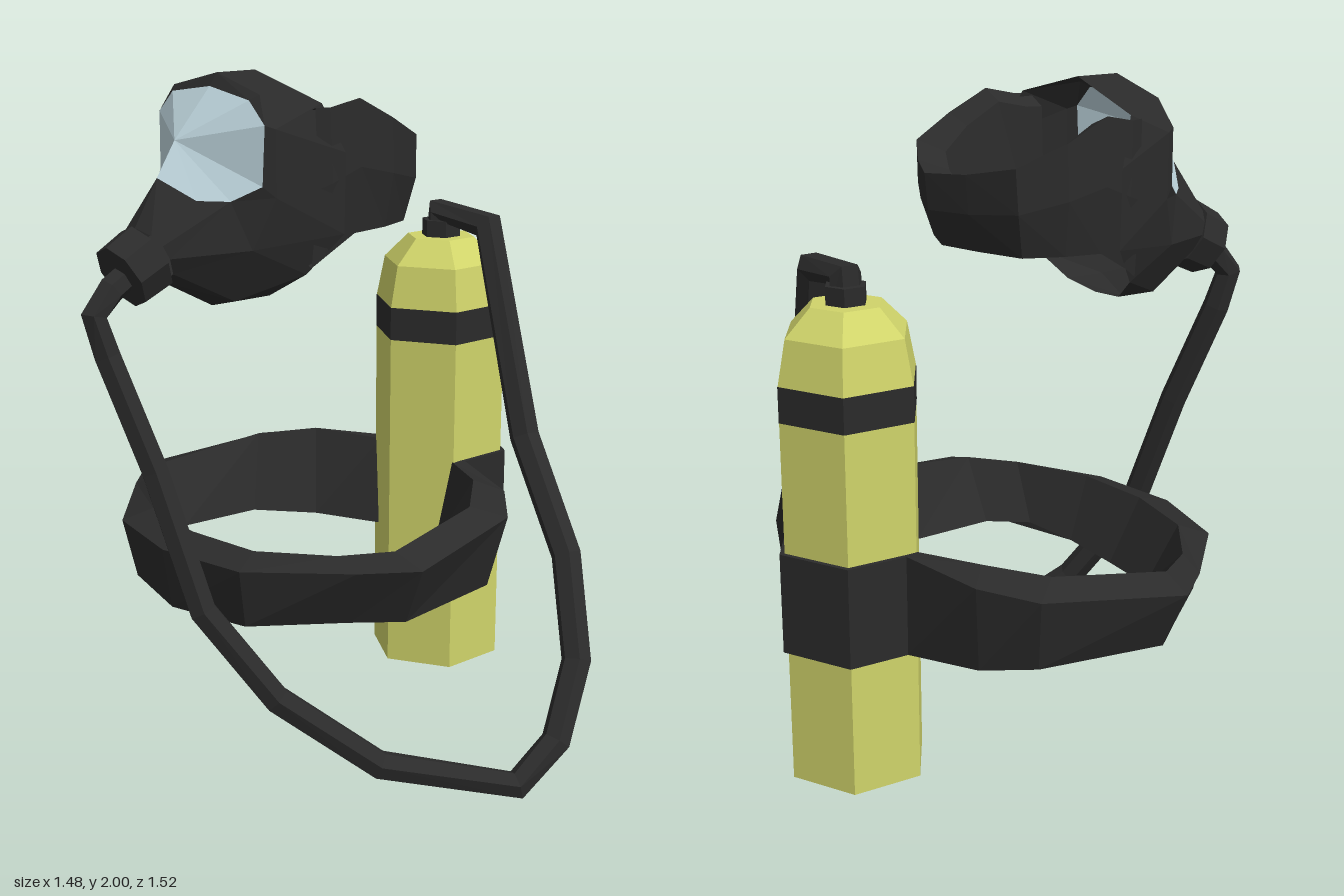
import * as THREE from 'three';

const CX = -0.1; // centre line of mask, belt and tank

function mat(name, color, side = THREE.FrontSide) {
  const m = new THREE.MeshStandardMaterial({ color, side, flatShading: true });
  m.name = name;
  return m;
}

// Skin a grid of [x, y, z] points; rows and columns may each wrap round.
function skin(rows, wrapRows = false, wrapCols = false) {
  const pos = [];
  const nr = rows.length, nc = rows[0].length;
  for (let i = 0; i < (wrapRows ? nr : nr - 1); i++) {
    for (let j = 0; j < (wrapCols ? nc : nc - 1); j++) {
      const a = rows[i][j], b = rows[(i + 1) % nr][j];
      const c = rows[(i + 1) % nr][(j + 1) % nc], d = rows[i][(j + 1) % nc];
      pos.push(...a, ...b, ...c, ...a, ...c, ...d);
    }
  }
  const g = new THREE.BufferGeometry();
  g.setAttribute('position', new THREE.Float32BufferAttribute(pos, 3));
  g.computeVertexNormals();
  return g;
}

const flip = (p) => [-p[0], p[1], p[2]];

// Six-sided tube whose rings sit exactly on the given points
function hoseGeometry(pts, r0, r1) {
  const P = pts.map((p) => new THREE.Vector3(...p));
  let u = new THREE.Vector3(0, 0, 1);
  const rows = P.map((p, i) => {
    const t = new THREE.Vector3();
    if (i > 0) t.add(p.clone().sub(P[i - 1]).normalize());
    if (i < P.length - 1) t.add(P[i + 1].clone().sub(p).normalize());
    t.normalize();
    u = u.clone().addScaledVector(t, -u.dot(t)).normalize();
    const v = t.clone().cross(u);
    const r = r0 + (r1 - r0) * (i / (P.length - 1));
    return Array.from({ length: 6 }, (_, k) => {
      const a = (k / 6) * Math.PI * 2;
      return p.clone().addScaledVector(u, r * Math.cos(a)).addScaledVector(v, r * Math.sin(a)).toArray();
    });
  });
  return skin(rows, false, true);
}

export function createModel() {
  const black = mat('black rubber', 0x2b2b2b, THREE.DoubleSide);
  const yellow = mat('yellow tank paint', 0xd0d46a);
  const glass = mat('pale blue glass', 0xbfd6de, THREE.DoubleSide);

  const model = new THREE.Group();
  model.name = 'breathingSet';
  const group = (name) => {
    const g = new THREE.Group();
    g.name = name;
    g.position.x = CX;
    model.add(g);
    return g;
  };
  const add = (parent, name, geo, material) => {
    const m = new THREE.Mesh(geo, material);
    m.name = name;
    parent.add(m);
    return m;
  };

  // Tank: hexagonal sections stacked upward, with a dark base
  const tank = group('tank');
  const section = (name, y0, y1, r0, r1, material) => {
    add(tank, name, new THREE.CylinderGeometry(r1, r0, y1 - y0, 6), material)
      .position.set(0, (y0 + y1) / 2, -0.54);
  };
  section('tankBody', 0.11, 1.16, 0.205, 0.205, [yellow, yellow, black]);
  section('tankStripe', 1.16, 1.26, 0.206, 0.206, black);
  section('tankShoulder', 1.26, 1.385, 0.205, 0.18, yellow);
  section('tankTop', 1.385, 1.46, 0.18, 0.105, yellow);
  section('valve', 1.46, 1.51, 0.06, 0.06, black);

  // Belt: [outer x, outer z, inner x, inner z, top y, bottom y, slant], front to back
  const beltHalf = [
    [0, 0.53, 0, 0.32, 0.69, 0.51, 0.03],
    [0.28, 0.475, 0.2, 0.31, 0.69, 0.515, 0.04],
    [0.52, 0.26, 0.36, 0.26, 0.7, 0.53, 0.07],
    [0.64, 0.13, 0.43, 0.14, 0.71, 0.535, 0.07],
    [0.56, -0.28, 0.41, -0.12, 0.75, 0.535, 0.05],
    [0.43, -0.4, 0.29, -0.28, 0.77, 0.52, 0.03],
    [0.19, -0.475, 0.13, -0.41, 0.79, 0.5, 0],
    [0.19, -0.65, 0.13, -0.61, 0.79, 0.5, 0],
    [0, -0.76, 0, -0.7, 0.79, 0.5, 0],
  ].map(([x, z, ix, iz, top, bot, s]) => {
    const k = 1 - s / 0.55;
    const rise = s > 0 ? 0.03 : 0;
    return [
      [x, top, z],
      [(x + ix) / 2, top + rise, (z + iz) / 2],
      [ix, bot + 0.02, iz],
      [x * k, bot, z * k],
    ];
  });
  const beltRows = [...beltHalf, ...beltHalf.slice(1, -1).reverse().map((r) => r.map(flip))];
  add(group('belt'), 'waistBelt', skin(beltRows, true, true), black);

  const mask = group('mask');

  // Head strap: [x, z, top y, bottom y], from the side of the mask to the back
  const strapHalf = [
    [0.285, 0.2, 1.92, 1.49],
    [0.3, 0.16, 1.92, 1.52],
    [0.315, 0.07, 1.94, 1.575],
    [0.315, -0.05, 1.88, 1.58],
    [0.27, -0.18, 1.82, 1.58],
    [0.13, -0.25, 1.79, 1.58],
    [0, -0.3, 1.78, 1.58],
  ].map(([x, z, top, bot]) => {
    const mid = (top + bot) / 2, back = z < 0 ? 1 - 0.05 / 0.3 : 1;
    return [
      [x * 0.98, top, z],
      [x, mid, z * 0.97],
      [x * 0.92, bot, z * back],
      [x * 0.68, bot + 0.03, z < 0 ? z * 0.58 : z],
      [x * 0.75, top - 0.03, z < 0 ? z * 0.68 : z],
    ];
  });
  const strapRows = [...strapHalf, ...strapHalf.slice(0, -1).reverse().map((r) => r.map(flip))];
  add(mask, 'headStrap', skin(strapRows, false, true), black);

  // Shared mask corners
  const sideBack = [0.24, 1.47, 0.2], cheek = [0.21, 1.55, 0.36];
  const jaw = [0.13, 1.4, 0.36], chin = [0, 1.365, 0.34];
  const paneEdge = [
    [0, 1.965, 0.335], [0.17, 1.94, 0.335], [0.235, 1.88, 0.335], [0.23, 1.72, 0.34],
    [0.17, 1.68, 0.4], [0.1, 1.68, 0.46], [0, 1.735, 0.515],
  ];

  // Mask shell patches for one side, then mirrored
  const patches = {
    maskFrame: [
      [[0, 2, 0.18], [0.27, 1.93, 0.17], [0.31, 1.8, 0.12], [0.305, 1.58, 0.12], sideBack],
      [[0, 2, 0.31], [0.19, 1.955, 0.315], [0.25, 1.87, 0.31], [0.25, 1.69, 0.31], cheek],
      paneEdge.slice(0, 5),
    ],
    maskChin: [
      [sideBack, [0.13, 1.4, 0.24], [0, 1.385, 0.25]],
      [cheek, jaw, chin],
    ],
    maskSnout: [
      [paneEdge[6], paneEdge[5], paneEdge[4], cheek, jaw, chin],
      [[0, 1.61, 0.59], [0.06, 1.595, 0.58], [0.09, 1.57, 0.565],
        [0.1, 1.535, 0.55], [0.085, 1.49, 0.53], [0, 1.455, 0.51]],
    ],
    // Window fans out from its central ridge
    visor: [Array(7).fill([0, 1.83, 0.455]), paneEdge],
  };
  for (const [name, rows] of Object.entries(patches)) {
    const material = name === 'visor' ? glass : black;
    add(mask, name + 'Left', skin(rows), material);
    add(mask, name + 'Right', skin(rows.map((r) => r.map(flip))), material);
  }

  // Mouthpiece angled forward and down
  const nozzle = add(mask, 'mouthpiece', new THREE.CylinderGeometry(0.095, 0.1, 0.095, 8), black);
  nozzle.position.set(0, 1.505, 0.597);
  nozzle.quaternion.setFromUnitVectors(
    new THREE.Vector3(0, 1, 0), new THREE.Vector3(0, -0.46, 0.89).normalize());

  // Hose from the tank valve, down past the left hip and up to the mouthpiece
  add(model, 'airHose', hoseGeometry([
    [-0.1, 1.45, -0.54], [-0.1, 1.535, -0.54], [0.1, 1.515, -0.54], [0.32, 0.92, -0.49],
    [0.54, 0.62, -0.445], [0.66, 0.35, -0.37], [0.7, 0.15, -0.25], [0.675, 0.045, -0.12],
    [0.44, 0.12, 0.19], [0.27, 0.33, 0.42], [0.14, 0.59, 0.57], [0.02, 0.97, 0.63],
    [-0.085, 1.28, 0.7], [-0.105, 1.39, 0.725], [-0.1, 1.455, 0.67], [-0.1, 1.49, 0.61],
  ], 0.047, 0.038), black);

  return model;
}
